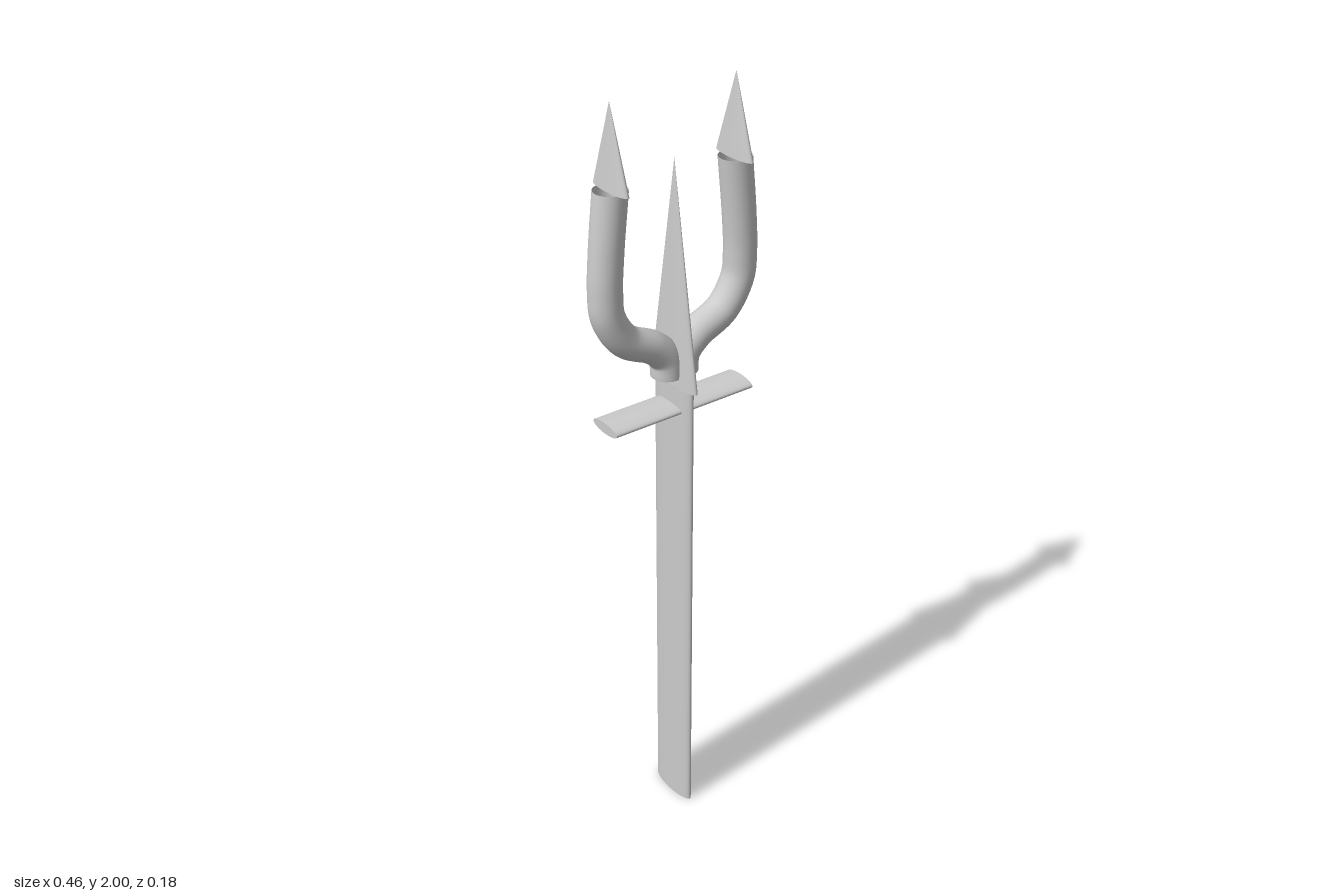
import * as THREE from 'three';

const material = new THREE.MeshStandardMaterial({ color: 0xcccccc, side: THREE.DoubleSide });

function addPart(parent, name, geometry) {
  const mesh = new THREE.Mesh(geometry, material);
  mesh.name = name;
  parent.add(mesh);
  return mesh;
}

// Cone flattened to an elliptical base, standing on y = base
function flatCone(rx, rz, base, tip) {
  return new THREE.ConeGeometry(1, tip - base, 48)
    .scale(rx, 1, rz)
    .translate(0, (base + tip) / 2, 0);
}

// Open, hollow pipe curving out and up; both rims are trimmed level
function prongGeometry(side) {
  const points = [
    [0.021, 1.31], [0.026, 1.355], [0.062, 1.393], [0.14, 1.435],
    [0.184, 1.505], [0.19, 1.57], [0.185, 1.66], [0.17, 1.805],
  ].map(([x, y]) => new THREE.Vector3(side * x, y, 0));
  const segments = 64, sides = 32;
  const geometry = new THREE.TubeGeometry(
    new THREE.CatmullRomCurve3(points, false, 'centripetal'), segments, 0.04, sides);
  const position = geometry.attributes.position;
  for (let i = 0; i <= sides; i++) {
    position.setY(i, 1.31);
    position.setY(segments * (sides + 1) + i, 1.805);
  }
  return geometry;
}

export function createModel() {
  const group = new THREE.Group();
  group.name = 'trident';

  // Flattened shaft
  addPart(group, 'shaft', new THREE.CylinderGeometry(1, 1, 1.29, 48)
    .scale(0.019, 1, 0.072).translate(0, 0.645, 0));

  // Flattened crossbar
  addPart(group, 'crossbar', new THREE.CylinderGeometry(1, 1, 0.4, 48)
    .rotateZ(Math.PI / 2).scale(1, 0.014, 0.048).translate(0, 1.225, 0));

  // Long middle spike
  addPart(group, 'middleSpike', flatCone(0.018, 0.088, 1.285, 1.84));

  // Mirrored outer prongs with their points
  for (const [name, side] of [['left', 1], ['right', -1]]) {
    addPart(group, name + 'Prong', prongGeometry(side));
    addPart(group, name + 'Point', flatCone(0.016, 0.064, 1.805, 2)).position.x = side * 0.168;
  }
  return group;
}
